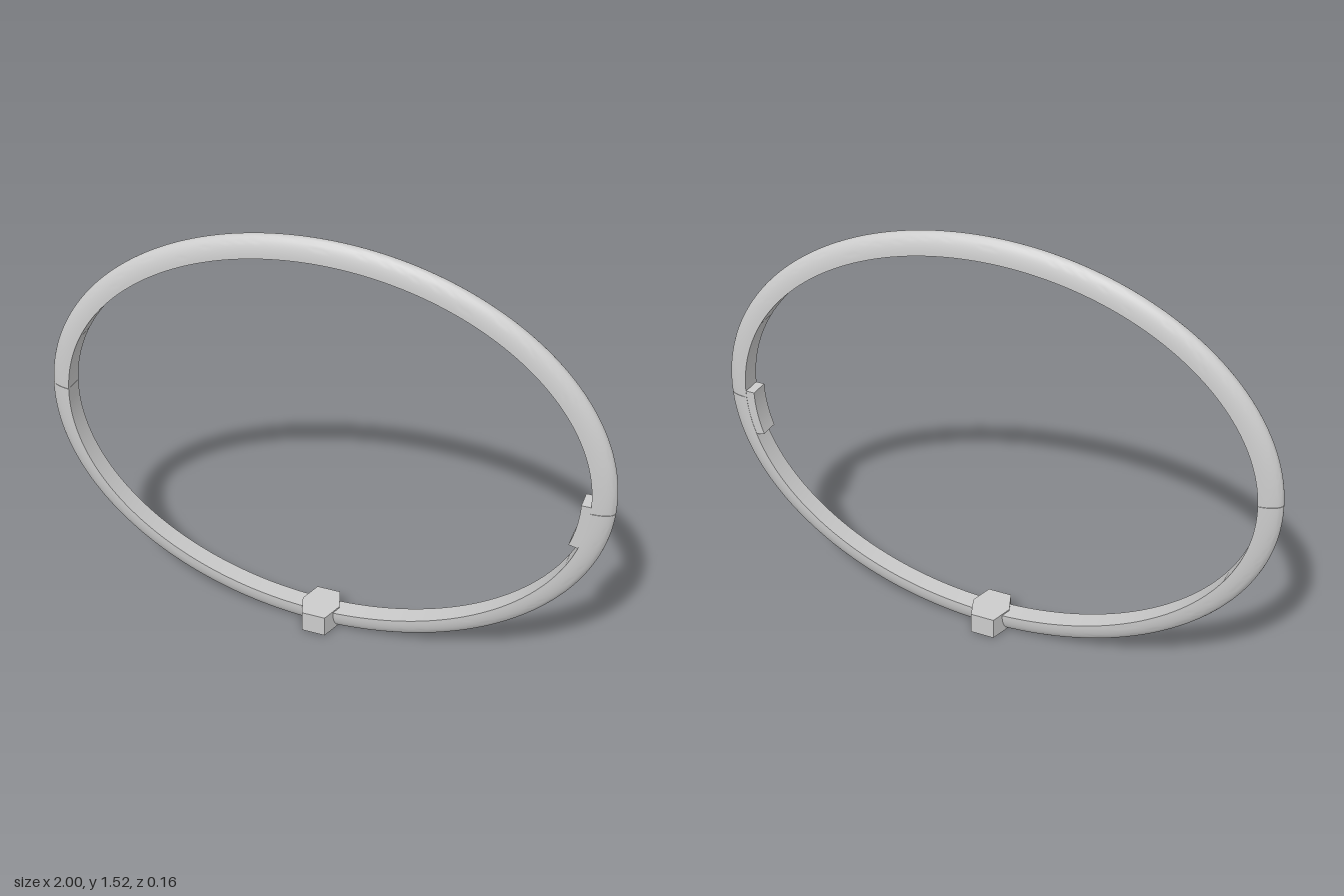
import * as THREE from 'three';
import { toCreasedNormals } from 'three/addons/utils/BufferGeometryUtils.js';

const CENTRE_Y = 0.76;
const INNER = [0.925, 0.688]; // half axes of the inner oval
const DEPTH = [0.075, 0.072]; // band thickness along each axis

const material = new THREE.MeshStandardMaterial({ color: 0xcccccc });

// Sweeps a closed profile of [depth fraction, z] points along part of the oval, with capped ends
function ovalArc(profile, start, end, steps) {
  const n = profile.length;
  const positions = [];
  const index = [];
  for (let j = 0; j <= steps; j++) {
    const a = start + (end - start) * j / steps;
    for (const [t, z] of profile) {
      positions.push(
        (INNER[0] + DEPTH[0] * t) * Math.cos(a),
        CENTRE_Y + (INNER[1] + DEPTH[1] * t) * Math.sin(a),
        z
      );
    }
  }
  for (let j = 0; j < steps; j++) {
    for (let i = 0; i < n; i++) {
      const a = j * n + i;
      const b = j * n + (i + 1) % n;
      index.push(a, a + n, b, b, a + n, b + n);
    }
  }
  const last = steps * n;
  for (let i = 1; i < n - 1; i++) {
    index.push(0, i, i + 1, last, last + i + 1, last + i);
  }
  const geometry = new THREE.BufferGeometry();
  geometry.setAttribute('position', new THREE.Float32BufferAttribute(positions, 3));
  geometry.setIndex(index);
  return toCreasedNormals(geometry, 0.6);
}

export function createModel() {
  const group = new THREE.Group();
  const add = (name, geometry) => {
    const mesh = new THREE.Mesh(geometry, material);
    mesh.name = name;
    group.add(mesh);
    return mesh;
  };

  // Band section: flat on the inside, domed to a narrow ridge on the outside
  const dome = [];
  for (let i = 0; i <= 20; i++) {
    const u = Math.PI * i / 20;
    dome.push([Math.sin(u), -0.036 * Math.cos(u)]);
  }

  // Two halves of the bangle, meeting at the clasp (+x) and the hinge (-x)
  const clasp = -0.035;
  const hinge = Math.PI - 0.045;
  const gap = 0.001;
  add('upperBand', ovalArc(dome, clasp + gap, hinge - gap, 120));
  add('lowerBand', ovalArc(dome, hinge + gap, clasp + Math.PI * 2 - gap, 120));

  // Clasp tab lying against the inside of the band
  const tab = [[-0.43, -0.035], [0.1, -0.035], [0.1, 0.035], [-0.43, 0.035]];
  add('claspTab', ovalArc(tab, -0.25, 0, 12));

  // Six-sided bead around the bottom of the band
  const hexagon = new THREE.Shape([
    [0.07, 0], [0.043, 0.079], [-0.043, 0.079],
    [-0.07, 0], [-0.043, -0.079], [0.043, -0.079]
  ].map(([x, y]) => new THREE.Vector2(x, y)));
  const bead = new THREE.ExtrudeGeometry(hexagon, { depth: 0.079, bevelEnabled: false });
  bead.rotateX(-Math.PI / 2);
  add('hexagonBead', bead);

  return group;
}
